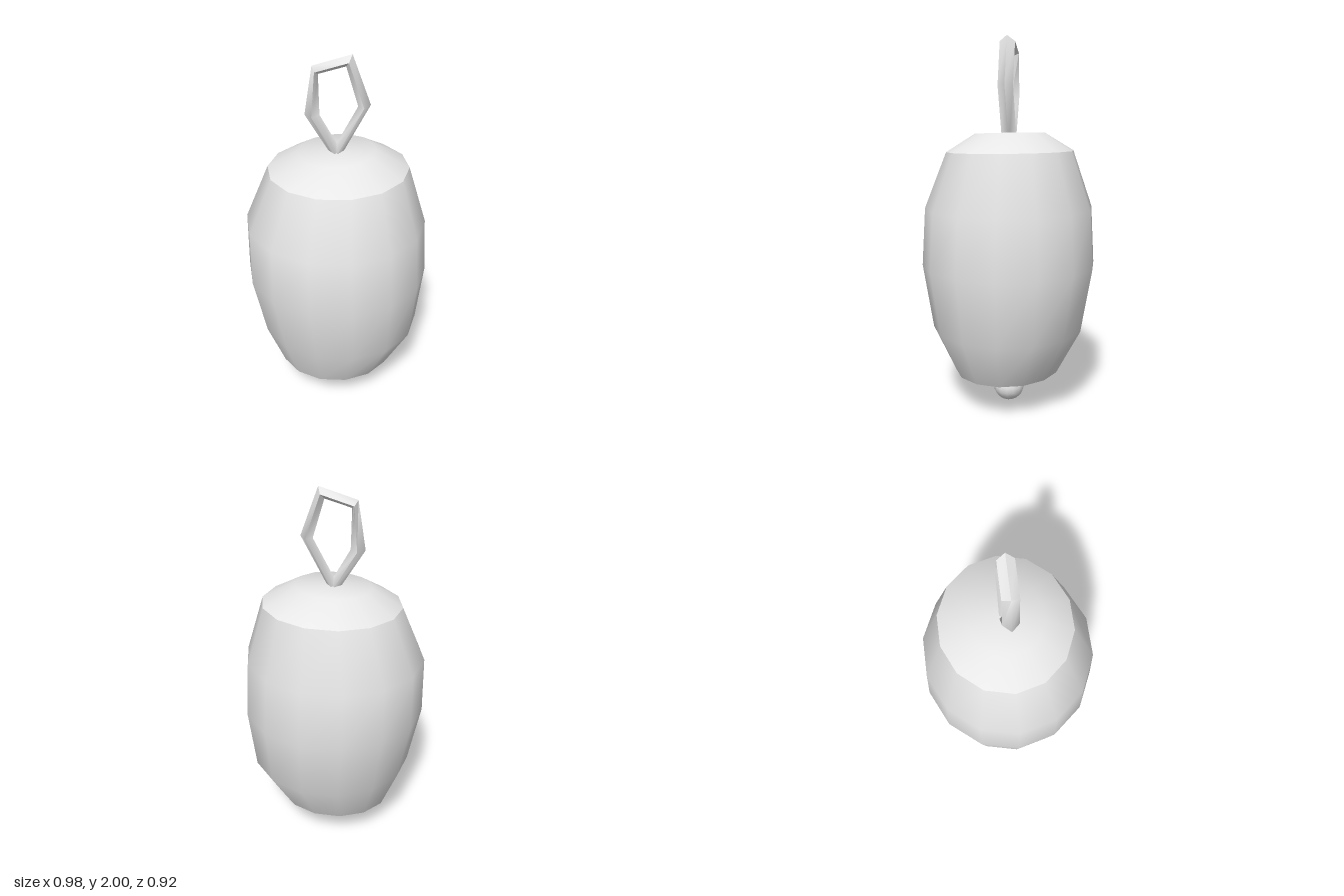
import * as THREE from 'three';
import { toCreasedNormals } from 'three/addons/utils/BufferGeometryUtils.js';

const SIDES = 14;

// Skin stretched over a stack of closed loops; each loop is an array of [x, y, z].
function skin(loops, closeStack = false) {
  const n = loops[0].length;
  const index = [];
  const rows = closeStack ? loops.length : loops.length - 1;
  for (let j = 0; j < rows; j++) {
    const up = (j + 1) % loops.length;
    for (let i = 0; i < n; i++) {
      const k = (i + 1) % n;
      const a = j * n + i, b = j * n + k, c = up * n + i, d = up * n + k;
      index.push(a, c, b, b, c, d);
    }
  }
  const geometry = new THREE.BufferGeometry();
  geometry.setAttribute('position', new THREE.Float32BufferAttribute(loops.flat(2), 3));
  geometry.setIndex(index);
  geometry.computeVertexNormals();
  return geometry;
}

// Slightly uneven elliptical ring: height, radii, centre offsets and tilts.
function ring([y, rx, rz, cx = 0, cz = 0, tiltX = 0, tiltZ = 0]) {
  return Array.from({ length: SIDES }, (_, i) => {
    const a = (i / SIDES) * Math.PI * 2;
    const x = rx * Math.cos(a), z = rz * Math.sin(a);
    return [x + cx, y + tiltX * x + tiltZ * z, z + cz];
  });
}

export function createModel() {
  const group = new THREE.Group();
  const grey = new THREE.MeshStandardMaterial({ color: 0xe7e7e7 });
  grey.name = 'light grey';

  const add = (name, geometry) => {
    const mesh = new THREE.Mesh(geometry, grey);
    mesh.name = name;
    group.add(mesh);
    return mesh;
  };

  // Barrel body, split at its two sharp rims
  const bottomRim = [0.193, 0.322, 0.286, -0.005, 0.008, 0.015, -0.02];
  const topRim = [1.403, 0.367, 0.341, 0.007, -0.008, 0.02, -0.015];
  const sides = [
    bottomRim,
    [0.45, 0.44, 0.41, 0.015, 0],
    [0.79, 0.49, 0.47],
    [1.1, 0.478, 0.453, -0.007, 0],
    topRim,
  ];
  const crown = [
    topRim,
    [1.498, 0.2, 0.188, 0, -0.005, 0.045, -0.025],
    [1.5, 0, 0],
  ];
  const underside = [[0.15, 0, 0], bottomRim];
  add('barrelSide', skin(sides.map(ring)));
  add('barrelTop', skin(crown.map(ring)));
  add('barrelBottom', skin(underside.map(ring)));

  // Hanging loop: uneven five-sided ring with a diamond section
  const outer = [[0.167, 1.75], [0.075, 2.0], [-0.12, 1.94], [-0.16, 1.69], [0, 1.43]];
  const inner = [[0.105, 1.74], [0.045, 1.94], [-0.09, 1.9], [-0.085, 1.69], [0, 1.54]];
  const sections = outer.map(([ox, oy], i) => {
    const [ix, iy] = inner[i];
    const mx = (ox + ix) / 2, my = (oy + iy) / 2;
    return [[ox, oy, 0], [mx, my, 0.04], [ix, iy, 0], [mx, my, -0.04]];
  });
  add('hangingLoop', toCreasedNormals(skin(sections, true), Math.PI / 3));

  // Ball hanging under the barrel
  add('ball', new THREE.SphereGeometry(0.085, 14, 10)).position.y = 0.09;

  return group;
}
